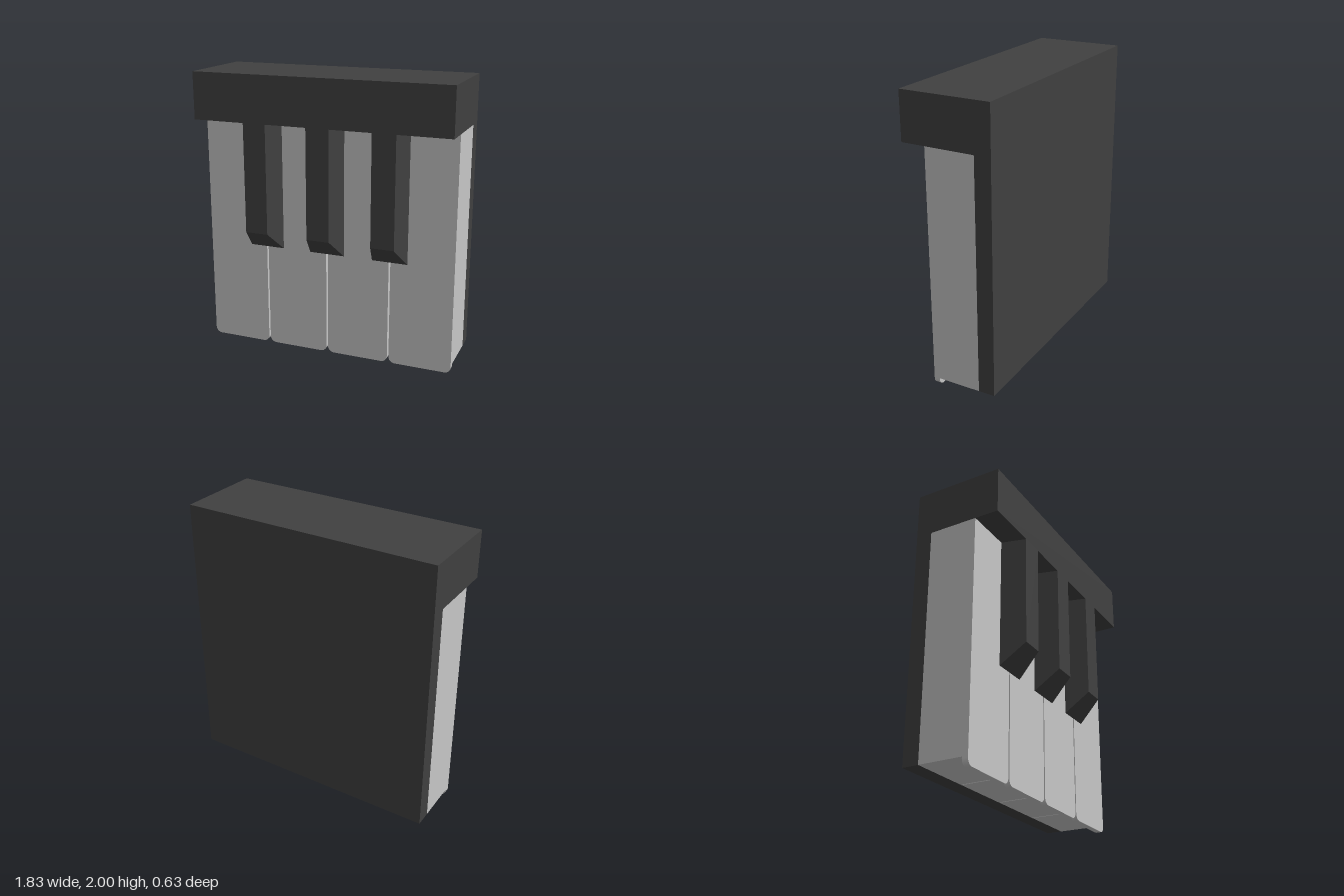
import * as THREE from 'three';

export function createModel() {
  const model = new THREE.Group();
  const ivory = new THREE.MeshStandardMaterial({ color: 0xc6c6c6 });
  ivory.name = 'light grey';
  const ebony = new THREE.MeshStandardMaterial({ color: 0x404040 });
  ebony.name = 'dark grey';

  const W = 0.915, BACK = -0.315, PANEL = -0.2, FACE = 0.147, FRONT = 0.315;
  const CAP = 1.67, BASE = 0.055, GAP = 0.012, LIP = 0.042, R = 0.045;
  const pitch = (2 * W + GAP) / 4;
  const keyWidth = pitch - GAP;

  function add(parent, name, geometry, material) {
    const mesh = new THREE.Mesh(geometry, material);
    mesh.name = name;
    parent.add(mesh);
    return mesh;
  }

  // Box given by its lower and upper corners
  function block(x0, y0, z0, x1, y1, z1) {
    return new THREE.BoxGeometry(x1 - x0, y1 - y0, z1 - z0)
      .translate((x0 + x1) / 2, (y0 + y1) / 2, (z0 + z1) / 2);
  }

  // Housing: back panel and overhanging top
  add(model, 'backPanel', block(-W, BASE, BACK, W, CAP, PANEL), ebony);
  add(model, 'topBlock', block(-W, CAP, BACK, W, 2, FRONT), ebony);

  // White keys: deep body with a round-cornered front plate that hangs lower
  const h = keyWidth / 2;
  const bodyGeometry = block(-h, BASE, PANEL, h, CAP, FACE - LIP);
  const outline = new THREE.Shape();
  outline.moveTo(-h, CAP);
  outline.lineTo(-h, R);
  outline.absarc(-h + R, R, R, Math.PI, 1.5 * Math.PI, false);
  outline.absarc(h - R, R, R, 1.5 * Math.PI, 2 * Math.PI, false);
  outline.lineTo(h, CAP);
  outline.closePath();
  const plateGeometry = new THREE.ExtrudeGeometry(outline, {
    depth: LIP, bevelEnabled: false, curveSegments: 8,
  }).translate(0, 0, FACE - LIP);

  for (let i = 0; i < 4; i++) {
    const key = new THREE.Group();
    key.name = 'whiteKey' + (i + 1);
    key.position.x = (i - 1.5) * pitch;
    add(key, 'keyBody', bodyGeometry, ivory);
    add(key, 'keyFrontPlate', plateGeometry, ivory);
    model.add(key);
  }

  // Black keys: box narrowed toward the front, with a sloping lower end
  const blackGeometry = block(-0.127, 0.75, FACE, 0.127, CAP, FRONT);
  const p = blackGeometry.attributes.position;
  for (let i = 0; i < p.count; i++) {
    if (p.getZ(i) < FRONT - 0.01) continue;
    p.setX(i, Math.sign(p.getX(i)) * 0.082);
    if (p.getY(i) < 1) p.setY(i, 0.897);
  }
  blackGeometry.computeVertexNormals();

  for (let i = -1; i <= 1; i++) {
    add(model, 'blackKey' + (i + 2), blackGeometry, ebony).position.x = i * pitch;
  }

  return model;
}
